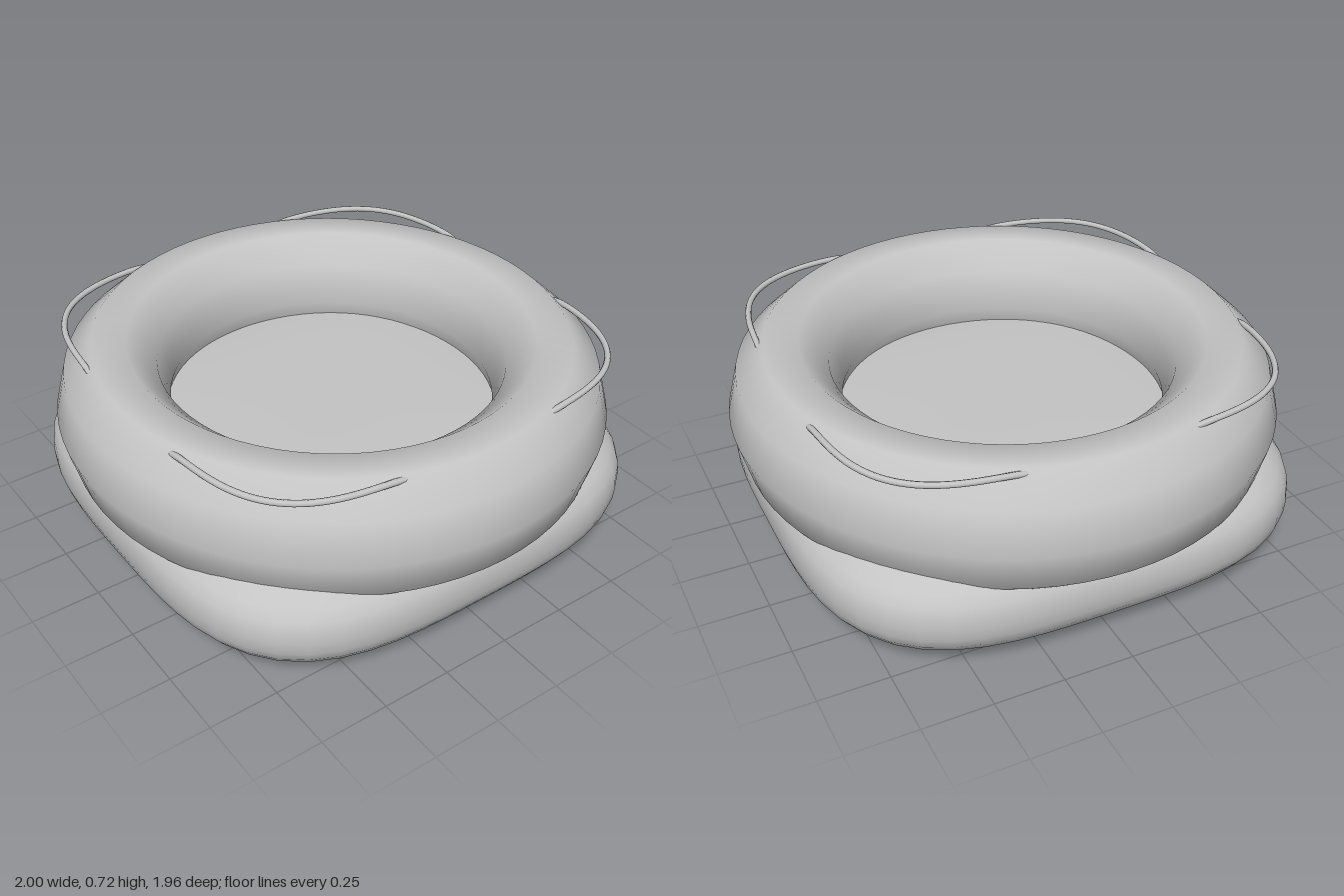
import * as THREE from 'three';

const fabric = new THREE.MeshStandardMaterial({ color: 0xc4c4c4 });
fabric.name = 'grey fabric';

// Distance to the edge of a unit rounded square in direction t
const squircle = (t, n) =>
  (Math.abs(Math.cos(t)) ** n + Math.abs(Math.sin(t)) ** n) ** (-1 / n);

// Plump square cushion made of stacked rounded-square rings
function cushionGeometry(half, thick, segments = 64) {
  const steps = [0.01, 0.2, 0.4, 0.55, 0.68, 0.78, 0.86, 0.92, 0.96, 0.985, 0.997];
  const rings = [
    ...steps.map((f) => [f, -1]),
    [1, 0],
    ...steps.slice().reverse().map((f) => [f, 1]),
  ];
  const positions = [];
  const indices = [];
  rings.forEach(([f, side], i) => {
    const y = thick * (1 + side * (1 - f ** 5.5) ** 0.4);
    for (let j = 0; j < segments; j++) {
      const t = (j / segments) * Math.PI * 2;
      const r = half * f * squircle(t, 3.4);
      positions.push(r * Math.cos(t), y, r * Math.sin(t));
      if (i === rings.length - 1) continue;
      const a = i * segments + j;
      const b = i * segments + ((j + 1) % segments);
      indices.push(a, a + segments, b, b, a + segments, b + segments);
    }
  });
  // Close the tiny first and last rings
  const last = (rings.length - 1) * segments;
  for (let j = 1; j < segments - 1; j++) {
    indices.push(0, j, j + 1, last, last + j + 1, last + j);
  }
  const geometry = new THREE.BufferGeometry();
  geometry.setAttribute('position', new THREE.Float32BufferAttribute(positions, 3));
  geometry.setIndex(indices);
  geometry.computeVertexNormals();
  return geometry;
}

export function createModel() {
  const model = new THREE.Group();
  model.name = 'cushionedRing';
  const add = (name, geometry) => {
    const mesh = new THREE.Mesh(geometry, fabric);
    mesh.name = name;
    model.add(mesh);
  };

  // Square base cushion, also the floor inside the ring
  add('baseCushion', cushionGeometry(0.92, 0.215));

  // Padded ring, taller than it is wide
  const ring = new THREE.TorusGeometry(0.795, 0.205, 10, 72);
  ring.rotateX(-Math.PI / 2);
  ring.scale(1, 1.23, 0.98);
  ring.translate(0, 0.48, 0);
  add('paddedRing', ring);

  // Four cord handles bowing out over the corners, ends sunk into the ring
  const start = 0.29;
  for (let corner = 0; corner < 4; corner++) {
    const points = [];
    for (let i = 0; i <= 16; i++) {
      const s = i / 8 - 1;
      const t = Math.PI / 4 + s * (Math.PI / 4 - start) + (corner * Math.PI) / 2;
      const r = 0.812 * squircle(t, 4);
      points.push(new THREE.Vector3(r * Math.cos(t), 0.71 - 0.025 * s ** 8, r * Math.sin(t)));
    }
    const path = new THREE.CatmullRomCurve3(points);
    add('cordHandle' + (corner + 1), new THREE.TubeGeometry(path, 40, 0.011, 8));
  }
  return model;
}
